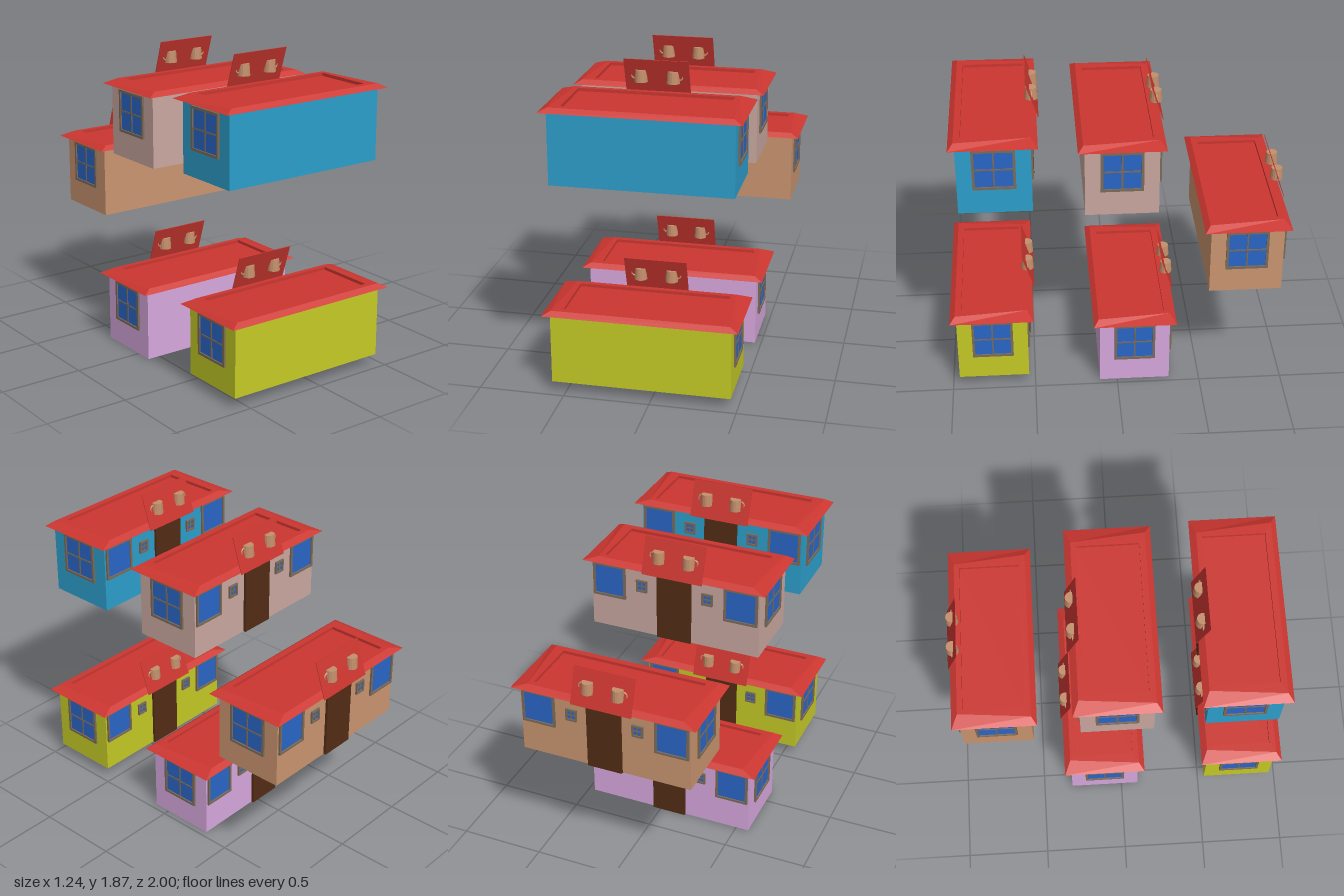
import * as THREE from 'three';

const mat = (color) => new THREE.MeshStandardMaterial({ color, flatShading: true });
const RED = mat(0xcc3630), FRAME = mat(0x7d6c5a), GLASS = mat(0x2a66c8);
const DOOR = mat(0x532d15), CLAY = mat(0xc48f6c);
const W = 1.04, H = 0.423, D = 0.422;

function add(parent, name, geometry, material, x = 0, y = 0, z = 0) {
  const m = new THREE.Mesh(geometry, material);
  m.name = name;
  m.position.set(x, y, z);
  parent.add(m);
  return m;
}
const box = (w, h, d) => new THREE.BoxGeometry(w, h, d);

// Roof: four-cornered loops from the eave up to the rim, then down into the recess
function roofGeometry() {
  // each loop: height, front half width, back half width, front z, back z
  const loops = [
    [0, 0.562, 0.562, 0.249, -0.249],
    [0.026, 0.512, 0.474, 0.217, -0.212],
    [0.026, 0.447, 0.447, 0.18, -0.18],
    [0.008, 0.447, 0.447, 0.18, -0.18],
  ].map(([y, f, b, zf, zb]) => [[-f, y, zf], [f, y, zf], [b, y, zb], [-b, y, zb]]);
  const pos = [];
  const quad = (a, b, c, d) => pos.push(...a, ...b, ...c, ...a, ...c, ...d);
  for (let k = 0; k < loops.length - 1; k++) {
    for (let i = 0; i < 4; i++) {
      const j = (i + 1) % 4;
      quad(loops[k][i], loops[k][j], loops[k + 1][j], loops[k + 1][i]);
    }
  }
  quad(...loops[3]);
  quad(...[...loops[0]].reverse());
  const g = new THREE.BufferGeometry();
  g.setAttribute('position', new THREE.Float32BufferAttribute(pos, 3));
  g.computeVertexNormals();
  return g;
}

// Framed pane facing +z, with optional cross bars
function makeWindow(name, w, h, t, cross) {
  const g = new THREE.Group();
  g.name = name;
  add(g, 'pane', box(w - t, h - t, 0.008), GLASS);
  for (const s of [-1, 1]) {
    add(g, 'frameSide', box(t, h, 0.024), FRAME, s * (w - t) / 2);
    add(g, 'frameRail', box(w - 2 * t, t, 0.024), FRAME, 0, s * (h - t) / 2);
  }
  if (cross) {
    add(g, 'mullion', box(t * 0.6, h - 2 * t, 0.016), FRAME);
    add(g, 'crossBar', box(w - 2 * t, t * 0.6, 0.015), FRAME);
  }
  return g;
}

// Tapered mug with a loop handle on the given side
function makeMug(side) {
  const g = new THREE.Group();
  g.name = 'mug';
  add(g, 'mugBody', new THREE.CylinderGeometry(0.033, 0.038, 0.07, 16), CLAY);
  const handle = add(g, 'mugHandle', new THREE.TorusGeometry(0.02, 0.005, 6, 10, Math.PI), CLAY, side * 0.034, 0.002, 0);
  handle.rotation.z = -side * Math.PI / 2;
  return g;
}

function makeShop(wallColor) {
  const shop = new THREE.Group();
  add(shop, 'walls', box(W, H, D), mat(wallColor), 0, H / 2, 0);
  add(shop, 'roof', roofGeometry(), RED, 0, H, 0);
  add(shop, 'door', box(0.21, 0.41, 0.03), DOOR, 0, 0.206, -D / 2 - 0.001);

  for (const s of [-1, 1]) {
    const sideWindow = makeWindow('sideWindow', 0.245, 0.25, 0.015, true);
    sideWindow.position.set(s * W / 2, 0.28, 0);
    sideWindow.rotation.y = s * Math.PI / 2;
    const backWindow = makeWindow('backWindow', 0.205, 0.21, 0.014, false);
    backWindow.position.set(s * 0.408, 0.305, -D / 2);
    backWindow.rotation.y = Math.PI;
    const smallWindow = makeWindow('smallWindow', 0.068, 0.075, 0.011, true);
    smallWindow.position.set(s * 0.203, 0.31, -D / 2);
    smallWindow.rotation.y = Math.PI;
    shop.add(sideWindow, backWindow, smallWindow);
  }

  // Leaning sign board at the back edge, with mugs set through it
  const board = add(shop, 'signBoard', box(0.37, 0.225, 0.004), RED, -0.002, 0.524, -0.225);
  board.rotation.x = Math.atan2(0.07, 0.214);
  for (const s of [-1, 1]) {
    const mug = makeMug(s);
    mug.position.set(s * 0.092 - 0.003, 0.53, -0.224);
    shop.add(mug);
  }
  return shop;
}

export function createModel() {
  const model = new THREE.Group();
  model.name = 'shops';
  const shops = [
    ['blueShop', 0x2c9fcc, -0.058, 1.24, 0.69],
    ['pinkShop', 0xcaa8a0, -0.058, 1.198, -0.027],
    ['orangeShop', 0xca9570, 0.057, 0.717, -0.739],
    ['yellowShop', 0xc4ca26, -0.058, 0.064, 0.748],
    ['lavenderShop', 0xd8a8de, -0.058, 0, -0.107],
  ];
  for (const [name, color, x, y, z] of shops) {
    const shop = makeShop(color);
    shop.name = name;
    shop.position.set(x, y, z);
    model.add(shop);
  }
  return model;
}
